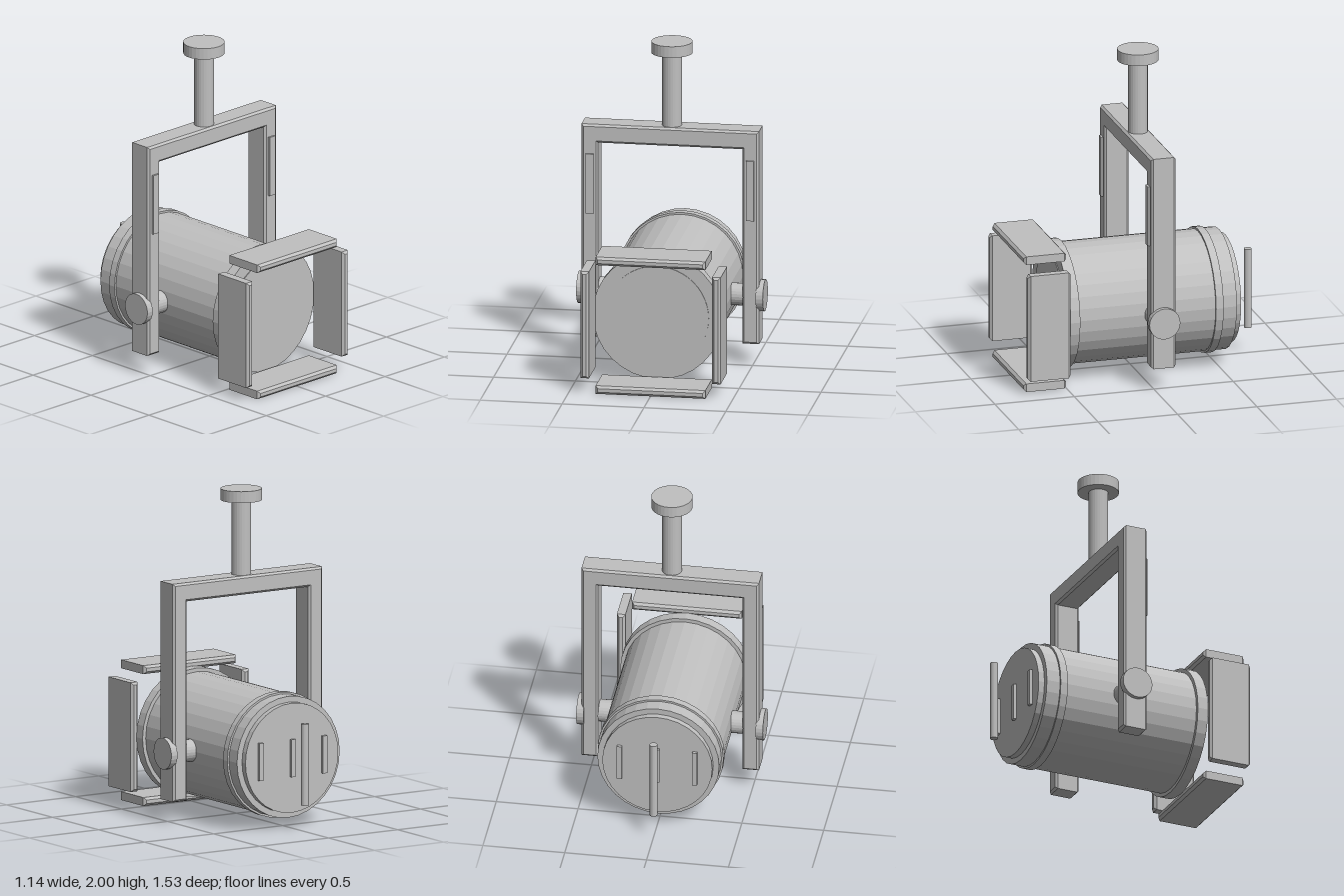
import * as THREE from 'three';

const AXIS_Y = 0.43; // height of the lamp barrel axis
const YOKE_Z = -0.05; // centre plane of the yoke and stem

export function createModel() {
  const model = new THREE.Group();
  model.name = 'stageLight';
  const grey = new THREE.MeshStandardMaterial({ color: 0xc0c0c0 });
  grey.name = 'matte grey';
  grey.flatShading = true;

  const add = (name, geometry, x = 0, y = 0, z = 0) => {
    const mesh = new THREE.Mesh(geometry, grey);
    mesh.name = name;
    mesh.position.set(x, y, z);
    model.add(mesh);
    return mesh;
  };

  // Extrusion centred on z with a single chamfer; the outline is the outer size
  const chamfered = (points, depth, c) => {
    const shape = new THREE.Shape(points.map(([x, y]) => new THREE.Vector2(x, y)));
    const g = new THREE.ExtrudeGeometry(shape, {
      depth: depth - 2 * c, bevelEnabled: true, bevelThickness: c,
      bevelSize: c, bevelOffset: -c, bevelSegments: 1,
    });
    return g.translate(0, 0, c - depth / 2);
  };
  const chamferBox = (w, h, d, c) => chamfered(
    [[-w / 2, -h / 2], [w / 2, -h / 2], [w / 2, h / 2], [-w / 2, h / 2]], d, c);

  // Cylinder lying along z between two depths
  const barrelPart = (name, radius, z0, z1, sides = 32) => add(name,
    new THREE.CylinderGeometry(radius, radius, z1 - z0, sides).rotateX(Math.PI / 2),
    0, AXIS_Y, (z0 + z1) / 2);

  // Lamp barrel with its rings, lens and rear cap
  barrelPart('barrel', 0.372, -0.562, 0.48);
  barrelPart('frontRing', 0.395, 0.43, 0.497);
  barrelPart('lens', 0.314, 0.48, 0.502, 48);
  barrelPart('rearRing', 0.384, -0.475, -0.428);
  barrelPart('rearCap', 0.336, -0.6, -0.55);

  // Rear vents and grab bar
  for (const x of [-0.23, 0, 0.23]) {
    add('rearVent', new THREE.BoxGeometry(0.03, 0.23, 0.03), x, AXIS_Y, -0.603);
  }
  add('rearHandle', new THREE.CylinderGeometry(0.024, 0.024, 0.5, 16), 0, 0.412, -0.742);

  // Barn doors around the lens
  for (const s of [-1, 1]) {
    add(s > 0 ? 'topDoor' : 'bottomDoor', chamferBox(0.67, 0.052, 0.27, 0.015),
      0, AXIS_Y + s * 0.404, 0.632);
    add(s > 0 ? 'leftDoor' : 'rightDoor', chamferBox(0.052, 0.67, 0.27, 0.015),
      s * 0.402, AXIS_Y, 0.632);
  }

  // Yoke
  add('yoke', chamfered([
    [-0.542, 0.14], [-0.44, 0.14], [-0.44, 1.36], [0.44, 1.36],
    [0.44, 0.14], [0.542, 0.14], [0.542, 1.475], [-0.542, 1.475],
  ], 0.155, 0.013), 0, 0, YOKE_Z);

  // Pivots, clamp knobs and arm plates
  for (const s of [-1, 1]) {
    const disc = (r, len) => new THREE.CylinderGeometry(r, r, len, 24).rotateZ(Math.PI / 2);
    add('pivot', disc(0.068, 0.2), s * 0.44, AXIS_Y, YOKE_Z);
    add('clampKnob', disc(0.097, 0.044), s * 0.548, AXIS_Y, YOKE_Z);
    add('armPlate', new THREE.BoxGeometry(0.048, 0.375, 0.03), s * 0.49, 1.105, 0.026);
  }

  // Ceiling stem and mount
  add('stem', new THREE.CylinderGeometry(0.06, 0.06, 0.49, 24), 0, 1.695, YOKE_Z);
  add('ceilingMount', new THREE.CylinderGeometry(0.125, 0.125, 0.07, 32), 0, 1.965, YOKE_Z);

  return model;
}
